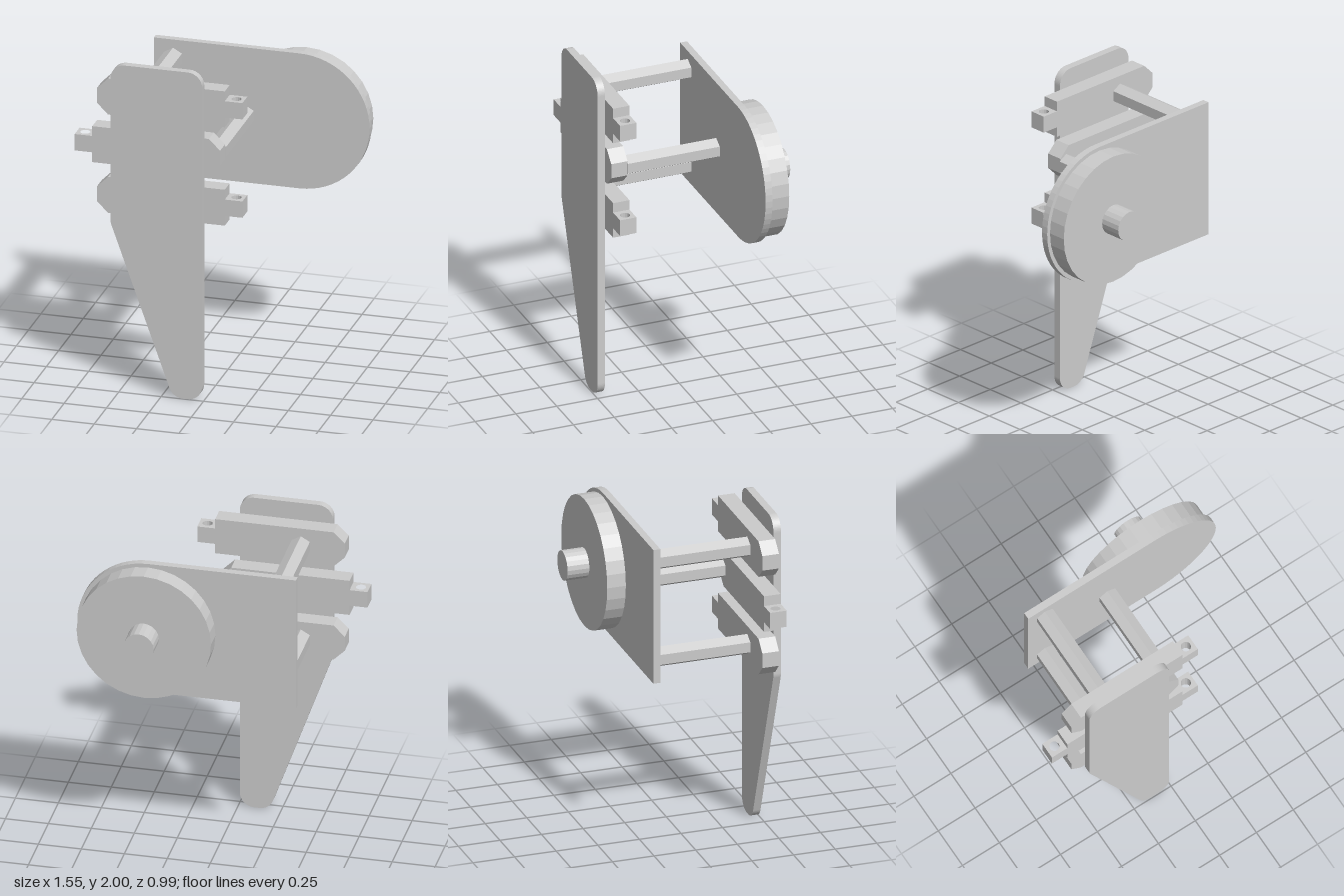
import * as THREE from 'three';

const grey = new THREE.MeshStandardMaterial({ color: 0xcccccc, flatShading: true });

function addMesh(parent, name, geometry, x = 0, y = 0, z = 0) {
  const mesh = new THREE.Mesh(geometry, grey);
  mesh.name = name;
  mesh.position.set(x, y, z);
  parent.add(mesh);
  return mesh;
}

const extrude = (shape, depth, curveSegments = 8) =>
  new THREE.ExtrudeGeometry(shape, { depth, bevelEnabled: false, curveSegments });

const polygon = (points) => new THREE.Shape(points.map(([x, y]) => new THREE.Vector2(x, y)));

// Counter-clockwise convex polygon with every corner rounded to radius r
function roundedPolygon(points, r) {
  const pts = points.map(([x, y]) => new THREE.Vector2(x, y));
  const n = pts.length;
  const shape = new THREE.Shape();
  pts.forEach((p, i) => {
    const din = p.clone().sub(pts[(i + n - 1) % n]).normalize();
    const dout = pts[(i + 1) % n].clone().sub(p).normalize();
    const turn = Math.acos(din.dot(dout));
    const start = p.clone().addScaledVector(din, -r * Math.tan(turn / 2));
    const a0 = Math.atan2(din.y, din.x) - Math.PI / 2;
    const cx = start.x - r * Math.cos(a0);
    const cy = start.y - r * Math.sin(a0);
    if (i === 0) shape.moveTo(start.x, start.y);
    shape.absarc(cx, cy, r, a0, a0 + turn, false);
  });
  shape.closePath();
  return shape;
}

// Cylinder lying along z, spanning z0 to z1
function addRound(parent, name, radius, sides, x, y, z0, z1) {
  const geometry = new THREE.CylinderGeometry(radius, radius, z1 - z0, sides).rotateX(Math.PI / 2);
  return addMesh(parent, name, geometry, x, y, (z0 + z1) / 2);
}

// Bar with a chamfered end and a drilled tab; side = 1 puts the tab at +x
function createBracket(side) {
  const bracket = new THREE.Group();
  const sx = (x) => side * x;
  const body = [[-0.363, -0.045], [-0.298, -0.11], [0.391, -0.11], [0.391, 0.11], [-0.298, 0.11], [-0.363, 0.045]];
  addMesh(bracket, 'bracketBody', extrude(polygon(body.map(([x, y]) => [sx(x), y])), 0.1), 0, 0, 0.35);

  const tab = polygon([[0.391, -0.05], [0.495, -0.05], [0.495, 0.05], [0.391, 0.05]].map(([x, y]) => [sx(x), y]));
  const hole = new THREE.Path();
  hole.absarc(sx(0.446), 0, 0.029, 0, Math.PI * 2, true);
  tab.holes.push(hole);
  addMesh(bracket, 'bracketTab', extrude(tab, 0.1).rotateX(-Math.PI / 2), 0, -0.05, 0.4);
  return bracket;
}

export function createModel() {
  const model = new THREE.Group();
  model.name = 'plateAssembly';

  // Tapered front plate
  const front = roundedPolygon([[-0.01, 0], [-0.01, 2], [-0.55, 2], [-0.55, 1.03], [-0.182, 0]], 0.085);
  addMesh(model, 'frontPlate', extrude(front, 0.045), 0, 0, 0.45);

  // Back plate with one semicircular end
  const back = new THREE.Shape();
  back.moveTo(-0.5, 1.065);
  back.lineTo(0.36, 1.065);
  back.absarc(0.36, 1.478, 0.413, -Math.PI / 2, Math.PI / 2, false);
  back.lineTo(-0.5, 1.891);
  back.closePath();
  addMesh(model, 'backPlate', extrude(back, 0.042, 16), 0, 0, -0.254);

  // Disc and its shaft behind the back plate
  addRound(model, 'disc', 0.391, 32, 0.36, 1.478, -0.366, -0.254);
  addRound(model, 'shaft', 0.088, 20, 0.36, 1.478, -0.497, -0.366);

  // Three brackets, the middle one reversed, each with a hexagonal spacer rod
  [[1.78, 1], [1.478, -1], [1.178, 1]].forEach(([y, side]) => {
    const bracket = createBracket(side);
    bracket.name = 'bracket';
    bracket.position.set(-0.28, y, 0);
    model.add(bracket);
    addRound(model, 'spacerRod', 0.061, 6, side > 0 ? -0.387 : 0.037, y, -0.212, 0.35);
  });

  return model;
}
